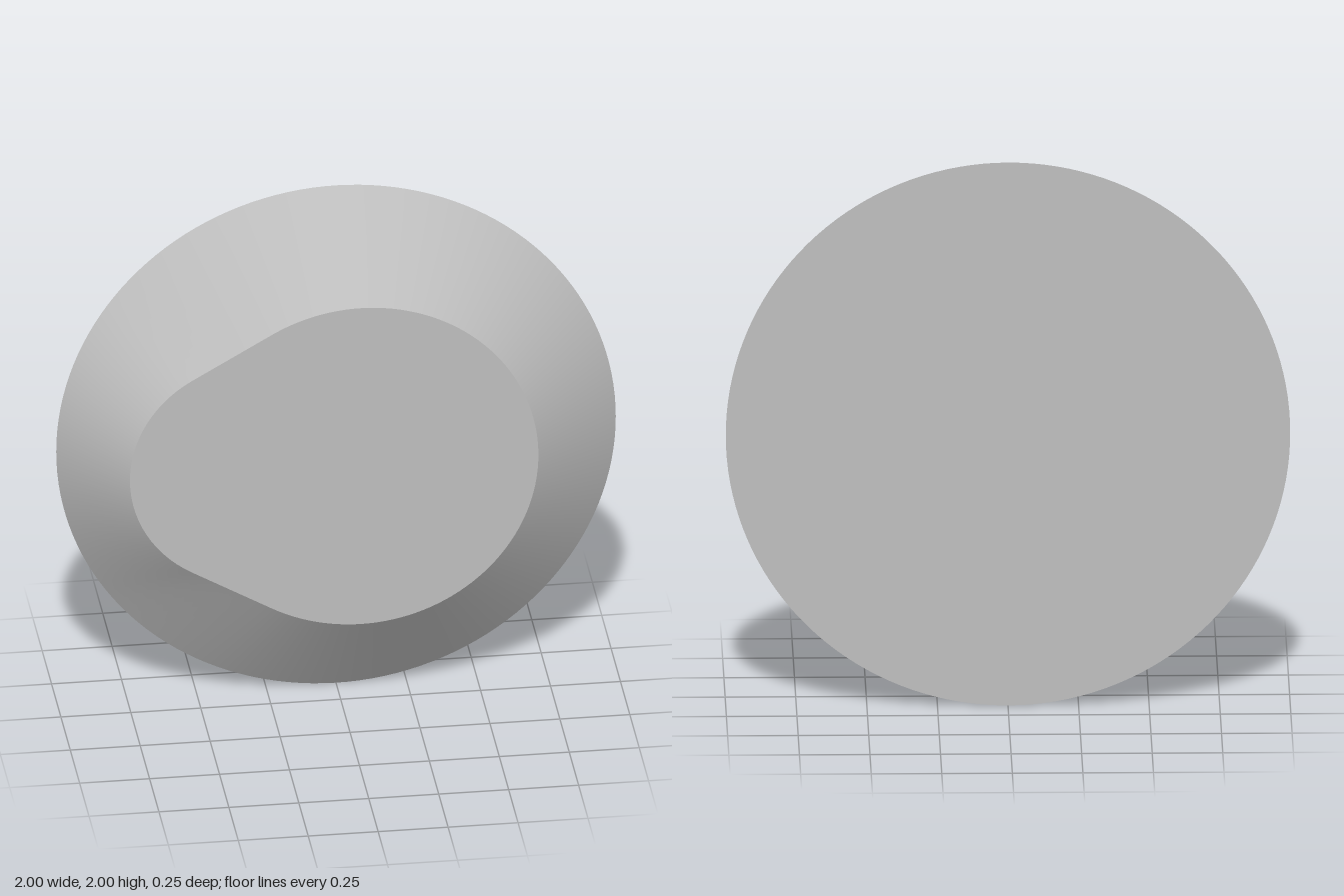
import * as THREE from 'three';

export function createModel() {
  const group = new THREE.Group();
  const grey = new THREE.MeshStandardMaterial({ color: 0xbfbfbf });
  grey.name = 'plainGrey';

  const N = 144, BACK = -0.125, FRONT = 0.125, CENTRE_Y = 1;
  // front outline: a large and a small arc joined by two 30 degree tangent lines
  const big = { x: 0.055, r: 0.635 }, small = { x: -0.325, r: 0.445 };
  const lineDist = -0.5 * big.x + big.r;
  const tangentAngle = (c) => Math.atan2(c.r * Math.sin(Math.PI * 2 / 3), c.x - 0.5 * c.r);
  const lineStart = tangentAngle(big), lineEnd = tangentAngle(small);
  const arcRadius = (c, t) =>
    c.x * Math.cos(t) + Math.sqrt(c.r ** 2 - (c.x * Math.sin(t)) ** 2);

  function frontRadius(t) {
    const a = t > Math.PI ? 2 * Math.PI - t : t;
    if (a < lineStart) return arcRadius(big, a);
    if (a > lineEnd) return arcRadius(small, a);
    return lineDist / (-0.5 * Math.cos(a) + Math.sqrt(0.75) * Math.sin(a));
  }
  const outline = (radius) => Array.from({ length: N }, (_, i) => {
    const t = (i / N) * Math.PI * 2, r = radius(t);
    return new THREE.Vector2(r * Math.cos(t), r * Math.sin(t));
  });
  const backLoop = outline(() => 1), frontLoop = outline(frontRadius);

  function add(name, geometry) {
    const mesh = new THREE.Mesh(geometry, grey);
    mesh.name = name;
    group.add(mesh);
    return mesh;
  }

  // sloping side lofted from the back circle to the front outline
  const positions = [], index = [];
  for (const p of backLoop) positions.push(p.x, p.y + CENTRE_Y, BACK);
  for (const p of frontLoop) positions.push(p.x, p.y + CENTRE_Y, FRONT);
  for (let i = 0; i < N; i++) {
    const j = (i + 1) % N;
    index.push(i, j, N + j, i, N + j, N + i);
  }
  const side = new THREE.BufferGeometry();
  side.setAttribute('position', new THREE.Float32BufferAttribute(positions, 3));
  side.setIndex(index);
  side.computeVertexNormals();
  add('slopedSide', side);

  // flat front and back faces
  add('frontFace', new THREE.ShapeGeometry(new THREE.Shape(frontLoop))
    .translate(0, CENTRE_Y, FRONT));
  add('backFace', new THREE.ShapeGeometry(new THREE.Shape(backLoop))
    .rotateY(Math.PI).translate(0, CENTRE_Y, BACK));

  return group;
}
